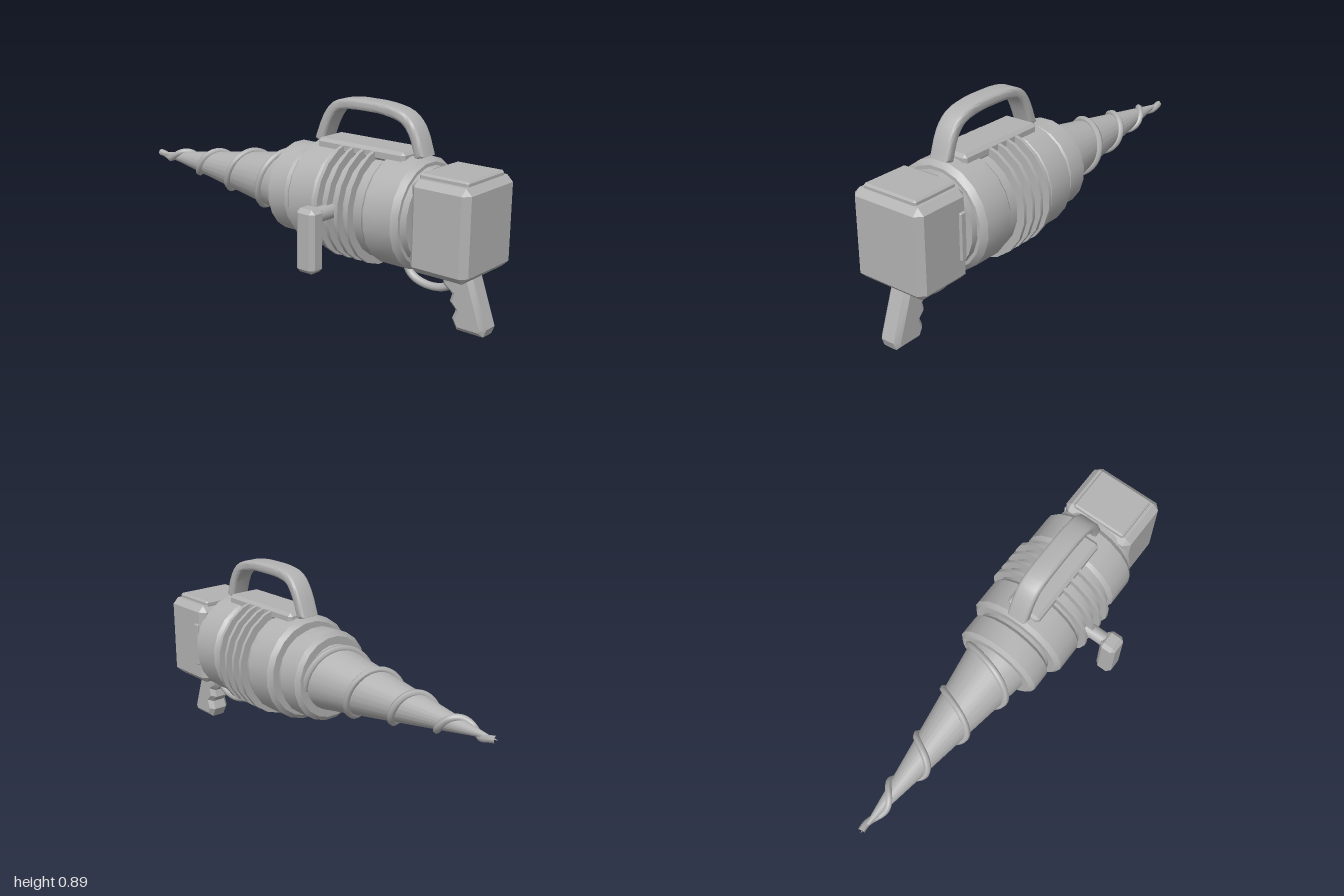
import * as THREE from 'three';
import { toCreasedNormals } from 'three/addons/utils/BufferGeometryUtils.js';
import { ConvexGeometry } from 'three/addons/geometries/ConvexGeometry.js';

const AX = 0.068, AY = 0.45; // drill axis

export function createModel() {
  const model = new THREE.Group();
  model.name = 'handDrill';
  const grey = new THREE.MeshStandardMaterial({ color: 0xb2b2b2 });
  grey.name = 'plain grey';

  function add(name, geometry, x = 0, y = 0, z = 0) {
    const mesh = new THREE.Mesh(geometry, grey);
    mesh.name = name;
    mesh.position.set(x, y, z);
    model.add(mesh);
    return mesh;
  }

  // Box with every edge cut at 45 degrees, given by its limits
  function chamferBox(name, x0, x1, y0, y1, z0, z1, c) {
    const h = [(x1 - x0) / 2, (y1 - y0) / 2, (z1 - z0) / 2];
    const points = [];
    for (const sx of [-1, 1]) for (const sy of [-1, 1]) for (const sz of [-1, 1]) {
      for (let k = 0; k < 3; k++) {
        const d = h.map((v, i) => (i === k ? v : v - c));
        points.push(new THREE.Vector3(sx * d[0], sy * d[1], sz * d[2]));
      }
    }
    add(name, new ConvexGeometry(points), (x0 + x1) / 2, (y0 + y1) / 2, (z0 + z1) / 2);
  }

  // Turned part along the drill axis; profile is [radius, z] with rising z
  function turned(name, profile, sides = 20) {
    const geo = new THREE.LatheGeometry(profile.map(p => new THREE.Vector2(...p)), sides, Math.PI / sides);
    geo.rotateX(Math.PI / 2);
    add(name, toCreasedNormals(geo, 0.5), AX, AY, 0);
  }

  // Side outline of [z, y] points, extruded across x with bevelled edges
  function sideExtrude(name, outline, width, bevel, segments) {
    const shape = new THREE.Shape(outline.map(p => new THREE.Vector2(...p)));
    const geo = new THREE.ExtrudeGeometry(shape, {
      depth: width - 2 * bevel, bevelThickness: bevel, bevelSize: bevel,
      bevelOffset: -bevel, bevelSegments: segments,
    });
    geo.translate(0, 0, bevel - width / 2);
    geo.rotateY(-Math.PI / 2);
    add(name, toCreasedNormals(geo, 0.6), AX, 0, 0);
  }

  // Barrel with raised end bands, cooling fins, necks and front collar
  turned('barrel', [
    [0, 0.1], [0.22, 0.1], [0.24, 0.12], [0.24, 0.25], [0.225, 0.268],
    [0.225, 0.505], [0.24, 0.523], [0.24, 0.66], [0.22, 0.685], [0, 0.685],
  ]);
  for (let i = 0; i < 4; i++) {
    const z = 0.29 + i * 0.055;
    turned('coolingFin', [[0, z - 0.008], [0.261, z - 0.008], [0.261, z + 0.008], [0, z + 0.008]]);
  }
  turned('rearNeck', [[0, 0.67], [0.205, 0.67], [0.205, 0.715], [0, 0.715]]);
  turned('frontNeck', [[0, 0.07], [0.185, 0.07], [0.185, 0.11], [0, 0.11]]);
  turned('collar', [
    [0, -0.047], [0.185, -0.047], [0.205, -0.03], [0.205, 0.065], [0.188, 0.082], [0, 0.082],
  ]);

  // Drill bit with a spiral ridge
  const TIP = -0.995, BASE = -0.03, R = 0.152;
  turned('drillBit', [[0, TIP], [R, BASE], [0, BASE]], 24);
  const spiral = [];
  const TURNS = 4.1;
  for (let i = 0; i <= 120; i++) {
    const t = i / 120, a = -0.3 + t * TURNS * Math.PI * 2, r = R * (1 - t) + 0.003;
    spiral.push(new THREE.Vector3(r * Math.cos(a), r * Math.sin(a), BASE + (TIP + 0.01 - BASE) * t));
  }
  add('spiralRidge', new THREE.TubeGeometry(new THREE.CatmullRomCurve3(spiral), 200, 0.016, 6), AX, AY, 0);

  // Motor housing with top lid and side vents
  chamferBox('motorHousing', -0.111, 0.246, 0.25, 0.637, 0.702, 0.977, 0.028);
  chamferBox('housingLid', -0.068, 0.203, 0.625, 0.657, 0.722, 0.948, 0.008);
  chamferBox('sideVent', 0.235, 0.257, 0.345, 0.55, 0.73, 0.76, 0.004);

  // Carry handle: a band offset to both sides of a curved path
  chamferBox('handleBase', -0.017, 0.15, 0.655, 0.709, 0.147, 0.608, 0.014);
  const path = new THREE.CatmullRomCurve3([
    [0.655, 0.685], [0.615, 0.79], [0.565, 0.84], [0.47, 0.863], [0.38, 0.867],
    [0.28, 0.864], [0.21, 0.845], [0.165, 0.79], [0.122, 0.685],
  ].map(([z, y]) => new THREE.Vector3(z, y, 0)));
  const inner = [], outer = [];
  for (let i = 0; i <= 24; i++) {
    const p = path.getPoint(i / 24), d = path.getTangent(i / 24);
    const ox = d.y * 0.023, oy = -d.x * 0.023;
    outer.push([p.x + ox, p.y + oy]);
    inner.unshift([p.x - ox, p.y - oy]);
  }
  sideExtrude('carryHandle', [...outer, ...inner], 0.096, 0.014, 3);

  // Pistol grip with finger grooves
  sideExtrude('pistolGrip', [
    [0.915, 0.27], [0.998, 0.035], [0.985, 0.0], [0.86, 0.0], [0.836, 0.045], [0.852, 0.085],
    [0.822, 0.115], [0.832, 0.15], [0.79, 0.18], [0.762, 0.27],
  ], 0.104, 0.02, 1);

  // Trigger and its guard
  const guard = new THREE.CatmullRomCurve3([
    [0.81, 0.175], [0.76, 0.15], [0.69, 0.143], [0.62, 0.162], [0.588, 0.195], [0.58, 0.24],
  ].map(([z, y]) => new THREE.Vector3(0, y, z)));
  add('triggerGuard', new THREE.TubeGeometry(guard, 20, 0.018, 8), AX, 0, 0);
  sideExtrude('trigger', [
    [0.72, 0.27], [0.7, 0.215], [0.685, 0.19], [0.672, 0.195], [0.68, 0.225], [0.67, 0.27],
  ], 0.04, 0.004, 1);

  // Side grip on a round stem
  const stem = new THREE.CylinderGeometry(0.033, 0.033, 0.14, 12);
  stem.rotateZ(Math.PI / 2);
  add('sideGripStem', stem, -0.2, 0.448, 0.345);
  chamferBox('sideGrip', -0.331, -0.249, 0.215, 0.489, 0.297, 0.394, 0.018);

  return model;
}
